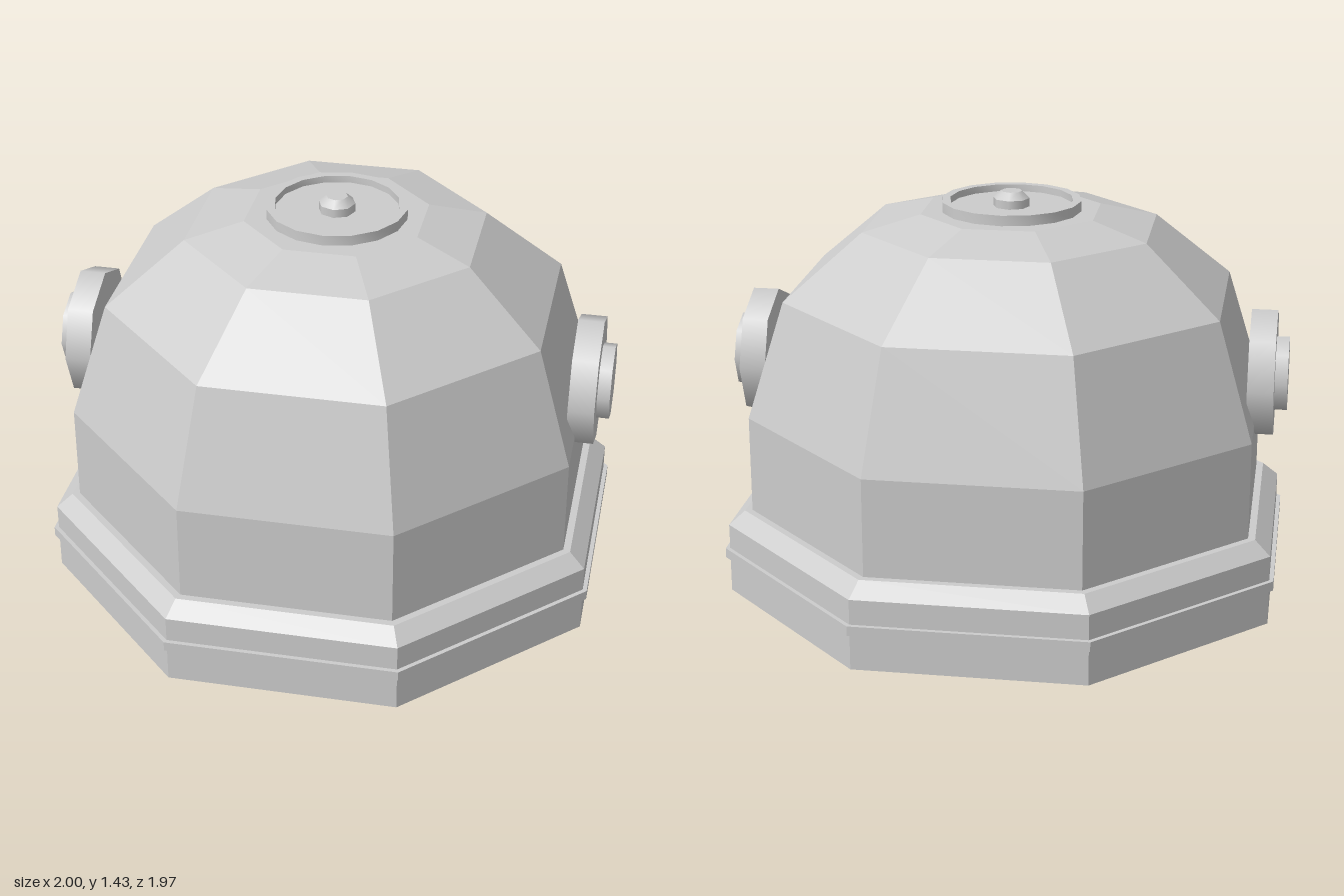
import * as THREE from 'three';
import { toCreasedNormals } from 'three/addons/utils/BufferGeometryUtils.js';

const grey = new THREE.MeshStandardMaterial({ color: 0xcccccc });
grey.name = 'light grey';

// octagonal shell with flat facets; profile gives [face distance, height]
function octagon(profile) {
  const k = 1 / Math.cos(Math.PI / 8);
  const pts = profile.map(([r, y]) => new THREE.Vector2(r * k, y));
  const geo = new THREE.LatheGeometry(pts, 8, Math.PI / 8).toNonIndexed();
  geo.computeVertexNormals();
  return geo;
}

export function createModel() {
  const model = new THREE.Group();
  const add = (name, geo, parent = model) => {
    const mesh = new THREE.Mesh(geo, grey);
    mesh.name = name;
    parent.add(mesh);
    return mesh;
  };

  // plinth with chamfered top and a thin raised band
  add('base', octagon([[0, 0], [0.97, 0], [0.97, 0.255], [0.915, 0.305], [0, 0.305]]));
  add('baseBand', octagon([[0.965, 0.13], [0.985, 0.13], [0.985, 0.165], [0.965, 0.165]]));

  // faceted dome
  add('dome', octagon([
    [0.89, 0.3], [0.89, 0.655], [0.765, 1.075], [0.5, 1.31], [0.305, 1.363], [0, 1.363],
  ]));

  // shallow rimmed dish on top
  const dish = [[0.25, 1.355], [0.25, 1.4], [0.22, 1.4], [0.22, 1.375], [0, 1.375]]
    .map(([r, y]) => new THREE.Vector2(r, y));
  add('topDish', toCreasedNormals(new THREE.LatheGeometry(dish, 16), 0.6));

  // small button in the dish
  add('buttonStem', new THREE.CylinderGeometry(0.065, 0.065, 0.04, 8)).position.y = 1.385;
  add('buttonCap', new THREE.CylinderGeometry(0.038, 0.065, 0.025, 8)).position.y = 1.4175;

  // stepped octagonal knobs on both sides
  for (const side of [-1, 1]) {
    const knob = new THREE.Group();
    knob.name = side > 0 ? 'leftKnob' : 'rightKnob';
    knob.position.y = 0.795;
    knob.rotation.z = -side * Math.PI / 2;
    add('knobPlate', new THREE.CylinderGeometry(0.235, 0.235, 0.093, 8), knob).position.y = 0.9085;
    add('knobCap', new THREE.CylinderGeometry(0.138, 0.138, 0.06, 8), knob).position.y = 0.97;
    model.add(knob);
  }
  return model;
}
